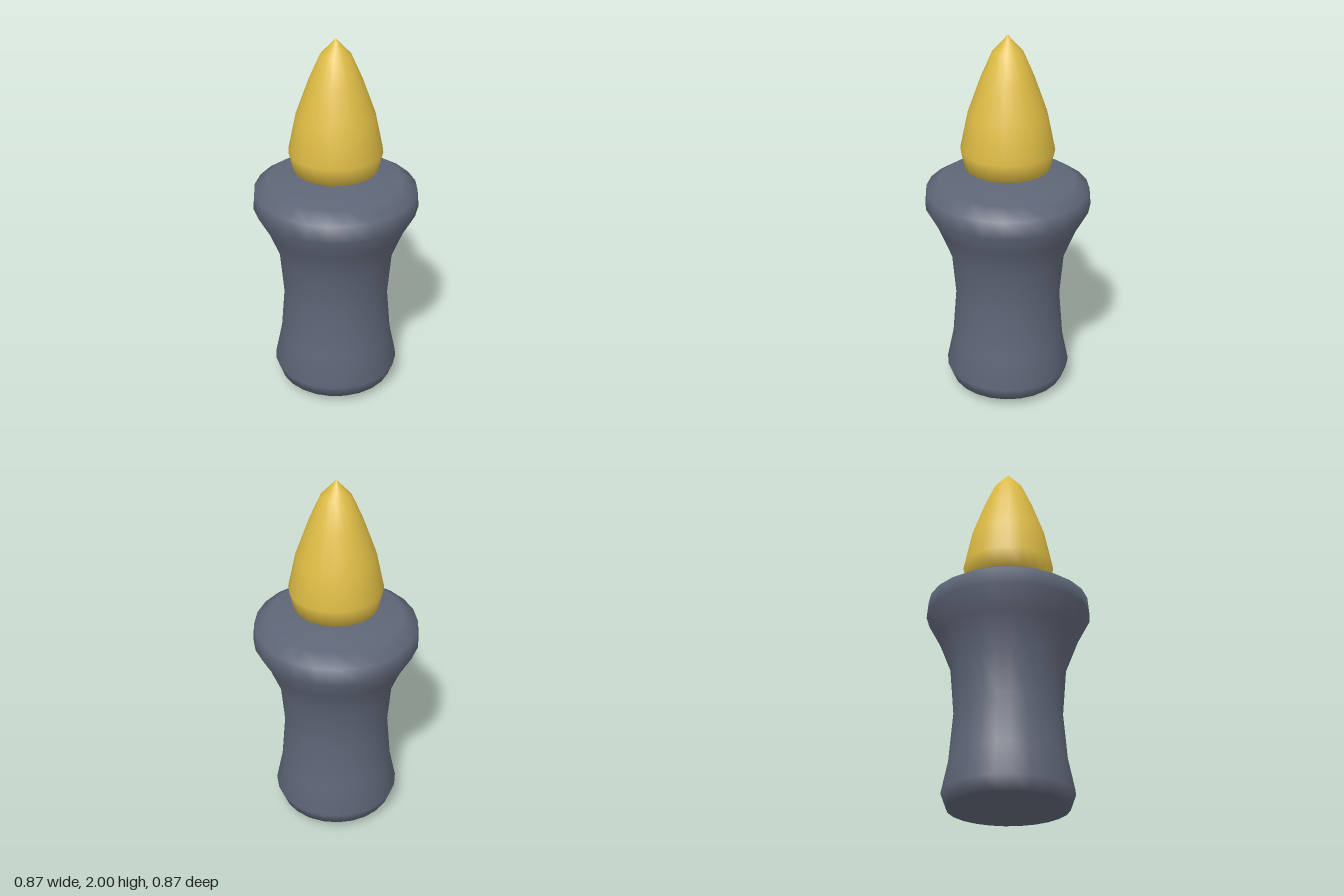
import * as THREE from 'three';

const wax = new THREE.MeshStandardMaterial({ color: 0x5f6677 });
wax.name = 'slateWax';
const fire = new THREE.MeshStandardMaterial({ color: 0xdebc45 });
fire.name = 'yellowFlame';

// Turned solid from [radius, height] pairs, listed bottom to top
function turned(name, profile, sides, material) {
  const points = profile.map(([r, y]) => new THREE.Vector2(r, y));
  const mesh = new THREE.Mesh(new THREE.LatheGeometry(points, sides), material);
  mesh.name = name;
  return mesh;
}

export function createModel() {
  const model = new THREE.Group();
  model.name = 'candle';

  // Waisted body with a flared, rounded rim and shallow cone ends
  model.add(turned('candleBody', [
    [0, 0], [0.31, 0.05], [0.338, 0.125], [0.303, 0.295], [0.282, 0.55],
    [0.303, 0.8], [0.37, 0.97], [0.435, 1.09], [0.427, 1.18], [0.35, 1.23], [0, 1.255],
  ], 24, wax));

  // Teardrop flame resting on the top
  model.add(turned('flame', [
    [0, 1.25], [0.132, 1.27], [0.222, 1.3], [0.245, 1.4], [0.205, 1.59],
    [0.137, 1.78], [0.078, 1.915], [0, 2],
  ], 20, fire));

  return model;
}
